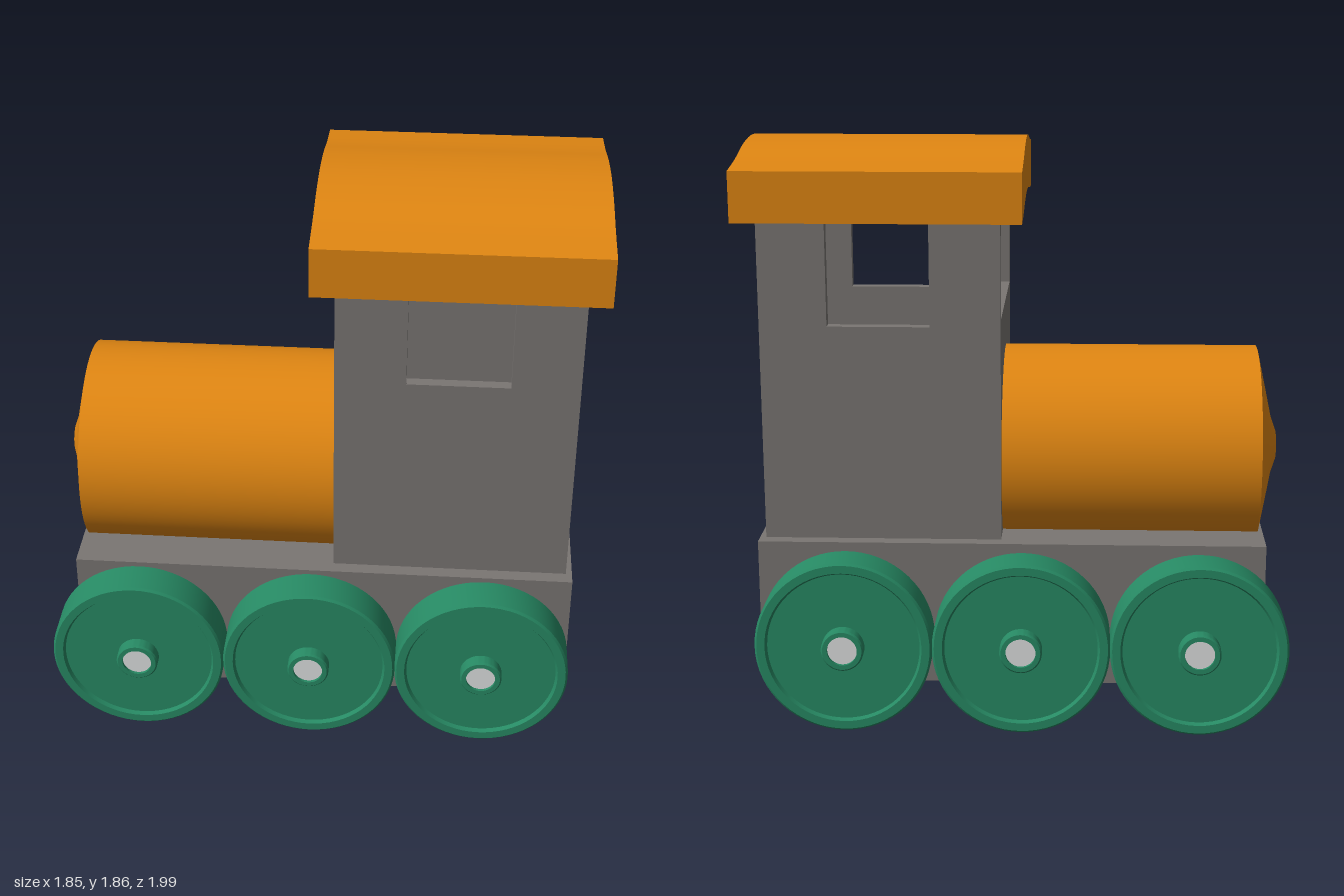
import * as THREE from 'three';
import { toCreasedNormals } from 'three/addons/utils/BufferGeometryUtils.js';

const material = (name, color) => {
  const m = new THREE.MeshStandardMaterial({ color });
  m.name = name;
  return m;
};

export function createModel() {
  const orange = material('orange', 0xe08612);
  const green = material('green', 0x278a64);
  const grey = material('grey', 0x7a7673);
  const paleGrey = material('pale grey', 0xe0e2e2);

  // The engine is built with its nose along -z, then turned as a whole.
  const engine = new THREE.Group();
  engine.name = 'toyEngine';
  engine.rotation.y = 0.625;

  const add = (name, geometry, mat, parent = engine) => {
    const mesh = new THREE.Mesh(geometry, mat);
    mesh.name = name;
    parent.add(mesh);
    return mesh;
  };
  // Box given by its lower and upper limits
  const block = (name, [x0, x1], [y0, y1], [z0, z1], parent = engine) => {
    const mesh = add(name, new THREE.BoxGeometry(x1 - x0, y1 - y0, z1 - z0), grey, parent);
    mesh.position.set((x0 + x1) / 2, (y0 + y1) / 2, (z0 + z1) / 2);
    return mesh;
  };
  const lathe = (points, segments) => toCreasedNormals(
    new THREE.LatheGeometry(points.map(([r, y]) => new THREE.Vector2(r, y)), segments), 0.5);

  block('chassis', [-0.396, 0.396], [0.125, 0.6], [-0.785, 0.85]);

  // Boiler with a shallow pointed nose
  const boiler = lathe([[0, -0.085], [0.333, -0.085], [0.333, 0.77], [0.2, 0.80],
    [0.1, 0.822], [0.05, 0.84], [0, 0.845]], 64);
  boiler.rotateX(-Math.PI / 2);
  add('boiler', boiler, orange).position.y = 0.83;

  // Cab: floor, front wall with a wide window, open back
  const cab = new THREE.Group();
  cab.name = 'cab';
  engine.add(cab);
  const inner = [-0.314, 0.314];
  block('cabFloor', inner, [0.6, 0.645], [0.066, 0.83], cab);
  block('frontWall', inner, [0.645, 1.32], [0.066, 0.08], cab);
  block('frontPanel', inner, [0.725, 1.32], [0.08, 0.11], cab);
  block('frontLintel', inner, [1.62, 1.67], [0.066, 0.11], cab);

  // Side walls with a window notch that reaches the roof
  const wallShape = new THREE.Shape([[0.066, 0.6], [0.83, 0.6], [0.83, 1.66], [0.615, 1.66],
    [0.615, 1.3], [0.29, 1.3], [0.29, 1.66], [0.066, 1.66]].map(p => new THREE.Vector2(...p)));
  const wall = new THREE.ExtrudeGeometry(wallShape, { depth: 0.037, bevelEnabled: false });
  wall.rotateY(-Math.PI / 2);
  add('leftWall', wall, grey, cab).position.x = -0.314;
  add('rightWall', wall, grey, cab).position.x = 0.351;

  // Roof: a gently waved slab
  const wave = new THREE.SplineCurve([[-0.437, 0], [-0.3, 0.018], [-0.15, 0.048], [0, 0.06],
    [0.15, 0.048], [0.3, 0.018], [0.437, 0]].map(p => new THREE.Vector2(...p))).getPoints(36);
  const roofShape = new THREE.Shape([
    ...wave.map(p => new THREE.Vector2(p.x, 1.64 + p.y * 0.7)),
    ...wave.map(p => new THREE.Vector2(p.x, 1.8 + p.y)).reverse(),
  ]);
  const roof = new THREE.ExtrudeGeometry(roofShape, { depth: 0.9, bevelEnabled: false });
  add('roof', toCreasedNormals(roof, 0.5), orange).position.z = -0.005;

  // Wheels: raised rim and hub around a pale axle
  const wheelProfile = [[0.04, 0.404], [0.285, 0.404], [0.285, 0.52], [0.278, 0.527], [0.252, 0.527],
    [0.245, 0.515], [0.068, 0.515], [0.068, 0.55], [0.063, 0.555], [0.048, 0.555], [0.048, 0.53]];
  const wheel = lathe(wheelProfile, 64);
  const axle = new THREE.CylinderGeometry(0.048, 0.048, 0.16, 32);
  axle.translate(0, 0.465, 0);
  for (const side of [-1, 1]) {
    [-0.572, -0.003, 0.566].forEach((z, i) => {
      const group = new THREE.Group();
      group.name = `${side < 0 ? 'left' : 'right'}Wheel${i + 1}`;
      group.position.set(0, side < 0 ? 0.305 : 0.288, z);
      group.rotation.z = -side * Math.PI / 2;
      add('wheelDisc', wheel, green, group);
      add('axleEnd', axle, paleGrey, group);
      engine.add(group);
    });
  }

  const model = new THREE.Group();
  model.name = 'model';
  model.add(engine);
  return model;
}
